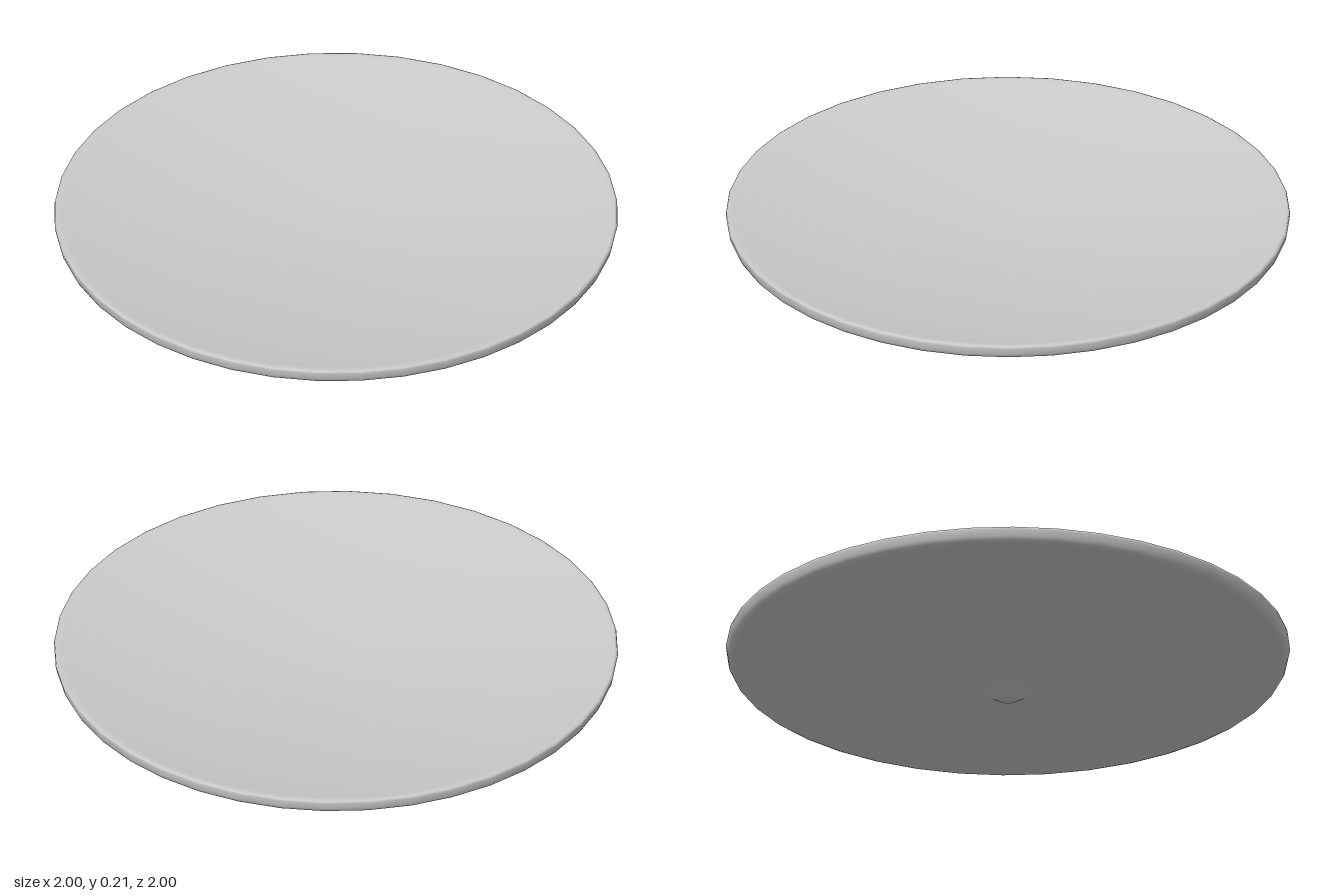
import * as THREE from 'three';

const SIDES = 40;

export function createModel() {
  const group = new THREE.Group();
  group.name = 'shallowDish';
  const material = new THREE.MeshStandardMaterial({ color: 0xcccccc });

  // Each smooth surface is its own lathe, so the edges between them stay crisp
  const addLathe = (name, profile) => {
    const points = profile.map(([r, y]) => new THREE.Vector2(r, y));
    const mesh = new THREE.Mesh(new THREE.LatheGeometry(points, SIDES), material);
    mesh.name = name;
    group.add(mesh);
  };

  // Small flat foot at the centre
  addLathe('foot', [[0, 0], [0.036, 0]]);

  // Underside flaring from the foot out to the rim
  addLathe('underside', [
    [0.036, 0], [0.06, 0.015], [0.08, 0.027], [0.105, 0.037], [0.15, 0.048],
    [0.27, 0.064], [0.42, 0.079], [0.6, 0.1], [0.78, 0.125], [0.975, 0.157],
  ]);

  // Rounded rim running into the gently hollow top
  addLathe('rimAndTop', [
    [0.975, 0.157], [0.988, 0.163], [0.995, 0.176], [1, 0.2], [0.998, 0.209],
    [0.99, 0.212], [0.97, 0.208], [0.88, 0.19], [0.75, 0.168], [0.6, 0.147],
    [0.42, 0.127], [0.25, 0.113], [0.1, 0.105], [0, 0.103],
  ]);

  return group;
}
